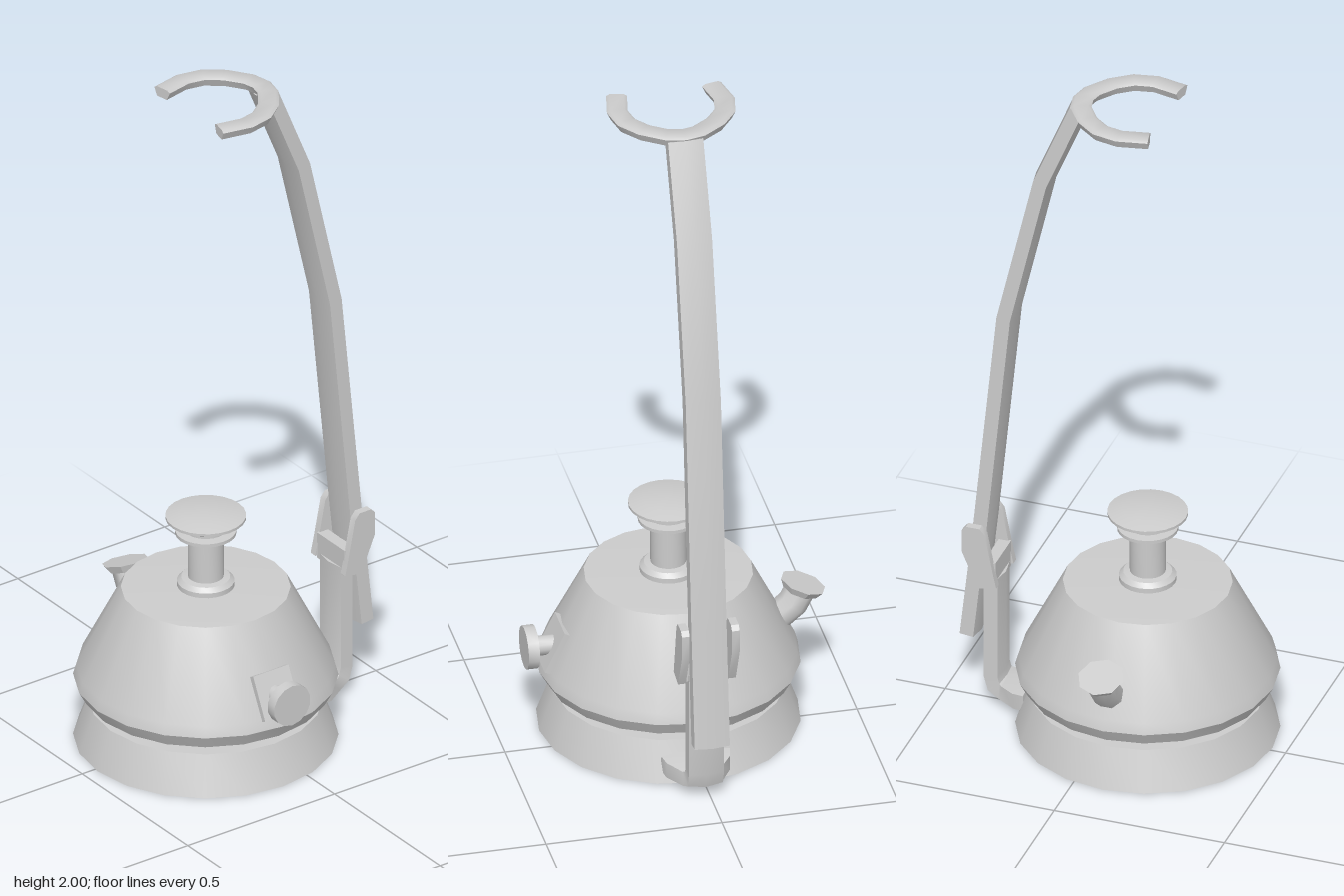
import * as THREE from 'three';
import { toCreasedNormals } from 'three/addons/utils/BufferGeometryUtils.js';

const CX = -0.09, CZ = 0.015; // axis of the round body
const material = new THREE.MeshStandardMaterial({ color: 0xcccccc });

function add(parent, name, geometry, crease = 0.6) {
  const mesh = new THREE.Mesh(toCreasedNormals(geometry, crease), material);
  mesh.name = name;
  parent.add(mesh);
  return mesh;
}

function lathe(profile, sides) {
  return new THREE.LatheGeometry(profile.map(([r, y]) => new THREE.Vector2(r, y)), sides);
}

// Sweeps a section along a planar path with mitred joints; b is the plane normal.
// The section runs counter-clockwise as [in-plane offset, offset along b].
// An optional scale per path point multiplies both offsets.
function sweep(path, b, section, scales = []) {
  const pos = [], index = [], n = section.length;
  const dirs = path.slice(1).map((p, i) => p.clone().sub(path[i]).normalize());
  path.forEach((p, i) => {
    const before = dirs[Math.max(i - 1, 0)], after = dirs[Math.min(i, dirs.length - 1)];
    const t = before.clone().add(after).normalize();
    const side = b.clone().cross(t).divideScalar(t.dot(after));
    const [su, sv] = scales[i] || [1, 1];
    for (const [u, v] of section) {
      const q = p.clone().addScaledVector(side, u * su).addScaledVector(b, v * sv);
      pos.push(q.x, q.y, q.z);
    }
  });
  for (let i = 0; i < path.length - 1; i++) {
    for (let k = 0; k < n; k++) {
      const a = i * n + k, c = i * n + (k + 1) % n;
      index.push(a, c, c + n, a, c + n, a + n);
    }
  }
  const last = (path.length - 1) * n;
  for (let k = 1; k < n - 1; k++) index.push(0, k + 1, k, last, last + k, last + k + 1);
  const geometry = new THREE.BufferGeometry();
  geometry.setAttribute('position', new THREE.Float32BufferAttribute(pos, 3));
  geometry.setIndex(index);
  return geometry;
}

const ring = (r, sides) => Array.from({ length: sides }, (_, k) => {
  const a = (k + 0.5) / sides * Math.PI * 2;
  return [r * Math.cos(a), r * Math.sin(a)];
});

export function createModel() {
  const model = new THREE.Group();
  model.name = 'model';
  const X = new THREE.Vector3(1, 0, 0), Y = new THREE.Vector3(0, 1, 0), Z = new THREE.Vector3(0, 0, 1);

  // Round body, stacked on its own axis
  const body = new THREE.Group();
  body.name = 'body';
  body.position.set(CX, 0, CZ);
  model.add(body);
  add(body, 'base', lathe([[0, 0], [0.367, 0], [0.325, 0.116], [0, 0.116]], 20));
  add(body, 'neckRing', lathe([[0.262, 0.11], [0.262, 0.142]], 20));
  add(body, 'vessel', lathe([
    [0, 0.137], [0.315, 0.137], [0.345, 0.15], [0.367, 0.19], [0.358, 0.222],
    [0.235, 0.467], [0, 0.477]], 20));
  add(body, 'plunger', lathe([
    [0.08, 0.465], [0.08, 0.488], [0.068, 0.5], [0.05, 0.503], [0.05, 0.63],
    [0.085, 0.637], [0.085, 0.647], [0.058, 0.649], [0.058, 0.66], [0.075, 0.665],
    [0.112, 0.686], [0.112, 0.694], [0.07, 0.703], [0, 0.707]], 24));

  // Front valve: tilted mount, stem and disc
  const valve = new THREE.Group();
  valve.name = 'frontValve';
  valve.position.set(CX, 0.275, 0);
  model.add(valve);
  const mount = add(valve, 'valveMount', new THREE.BoxGeometry(0.12, 0.13, 0.03));
  mount.position.z = 0.338;
  mount.rotation.x = -0.45;
  const stem = add(valve, 'valveStem', new THREE.CylinderGeometry(0.028, 0.028, 0.1, 12));
  stem.position.z = 0.35;
  const disc = add(valve, 'valveDisc', new THREE.CylinderGeometry(0.062, 0.062, 0.032, 14));
  disc.position.z = 0.409;
  stem.rotation.x = disc.rotation.x = Math.PI / 2;

  // Rear spout with its flared lip
  const spoutPath = [[0.25, -0.26], [0.315, -0.338], [0.365, -0.364]]
    .map(([y, z]) => new THREE.Vector3(CX, y, z));
  add(model, 'spout', sweep(spoutPath, X, ring(0.043, 8)), 0.9);
  const lip = add(model, 'spoutLip', new THREE.CylinderGeometry(0.066, 0.052, 0.022, 8));
  lip.position.set(CX, 0.364, -0.364);
  lip.rotation.x = -0.33;

  // Tall bent arm
  const xy = ([x, y]) => new THREE.Vector3(x, y, CZ);
  const flatBar = [[0.02, -0.05], [0.028, 0], [0.02, 0.05], [-0.02, 0.05], [-0.028, 0], [-0.02, -0.05]];
  const armPath = [[0.425, 0.21], [0.386, 0.566], [0.317, 1.258], [0.21, 1.72], [0.103, 1.98]].map(xy);
  add(model, 'arm', sweep(armPath, Z, flatBar));

  // Open fork at the top of the arm, mirrored about its middle
  const half = [[-0.142, 0.135], [-0.06, 0.152], [0, 0.14], [0.05, 0.102], [0.09, 0.045]];
  const forkPath = [...half, [0.1, 0], ...half.map(([x, z]) => [x, -z]).reverse()]
    .map(([x, z]) => new THREE.Vector3(x, 1.985, CZ + z));
  const forkSection = [[0.018, -0.015], [0.029, 0.009], [0.02, 0.015], [-0.02, 0.015], [-0.029, 0.009], [-0.018, -0.015]];
  add(model, 'fork', sweep(forkPath, Y, forkSection), 0.9);

  // Lower bracket: flared root on the base, elbow and upright post
  const bracketPath = [[0.24, 0.053], [0.275, 0.05], [0.325, 0.047], [0.345, 0.058], [0.354, 0.09], [0.354, 0.41]].map(xy);
  add(model, 'bracket', sweep(bracketPath, Z, flatBar, [[1.2, 1.95], [1.2, 1.8], [1, 1.1]]));

  // Clip that holds the arm: a web with two side cheeks
  const web = add(model, 'clipWeb', new THREE.BoxGeometry(0.035, 0.08, 0.13));
  web.position.set(0.352, 0.43, CZ);
  const cheek = new THREE.Shape([
    [0.326, 0.4], [0.335, 0.44], [0.36, 0.565], [0.375, 0.583], [0.415, 0.583],
    [0.427, 0.57], [0.427, 0.5], [0.38, 0.39]].map(([x, y]) => new THREE.Vector2(x, y)));
  for (const s of [1, -1]) {
    const plate = new THREE.ExtrudeGeometry(cheek, { depth: 0.022, bevelEnabled: false });
    add(model, s > 0 ? 'frontClipCheek' : 'rearClipCheek', plate).position.z = CZ + s * 0.071 - 0.011;
  }
  return model;
}
